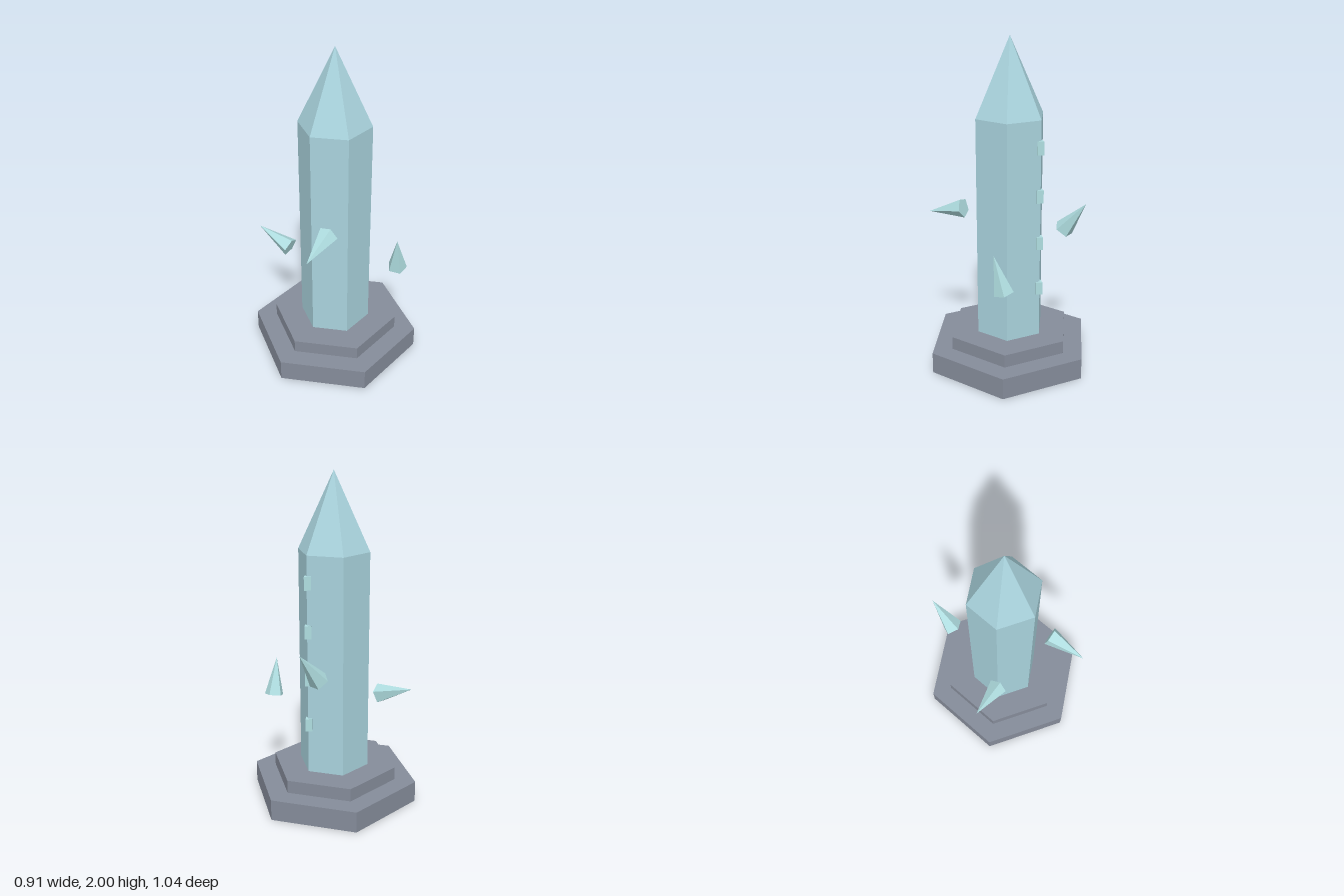
import * as THREE from 'three';

const material = (color) => new THREE.MeshStandardMaterial({ color, flatShading: true });

export function createModel() {
  const model = new THREE.Group();
  const stone = material(0x858c9a);
  const crystal = material(0xa9d3dd);
  const pale = material(0xafdde0);

  const add = (name, geometry, mat, x, y, z, parent = model) => {
    const mesh = new THREE.Mesh(geometry, mat);
    mesh.name = name;
    mesh.position.set(x, y, z);
    parent.add(mesh);
    return mesh;
  };

  // Hexagonal tower, stacked from the ground up
  const cx = 0.006;
  const hexPart = (name, rTop, rBottom, y0, y1, mat) =>
    add(name, new THREE.CylinderGeometry(rTop, rBottom, y1 - y0, 6), mat, cx, (y0 + y1) / 2, 0);
  hexPart('baseSlab', 0.518, 0.518, 0, 0.13, stone);
  hexPart('baseStep', 0.388, 0.388, 0.13, 0.21, stone);
  hexPart('crystalShaft', 0.215, 0.215, 0.21, 1.545, crystal);
  hexPart('crystalPoint', 0, 0.215, 1.545, 2, crystal);

  // Column of small studs on the rear edge
  const studs = new THREE.Group();
  studs.name = 'rearStuds';
  model.add(studs);
  const studShape = new THREE.CylinderGeometry(0.03, 0.03, 0.08, 4);
  studShape.scale(0.85, 1, 1);
  for (let i = 0; i < 4; i++) add('stud', studShape, pale, cx, 0.52 + i * 0.289, -0.206, studs);

  // Floating shards: base centre, tip, and direction of one base corner
  const shards = [
    ['rightShard', [-0.23, 0.685, 0.15], [-0.455, 0.765, 0.18], [0.02, 0.055, 0.005]],
    ['leftShard', [0.343, 0.61, -0.19], [0.37, 0.835, -0.14], [-1, 0, 0]],
    ['frontShard', [0.152, 0.982, 0.236], [0.19, 0.925, 0.467], [0.023, 0.055, 0]],
    ['rearShard', [-0.157, 0.858, -0.277], [-0.157, 1.045, -0.425], [0, 0.62, 0.78]],
  ];
  for (const [name, base, tip, corner] of shards) {
    const a = new THREE.Vector3(...base);
    const b = new THREE.Vector3(...tip);
    const axis = b.clone().sub(a);
    const length = axis.length();
    axis.normalize();
    const side = axis.clone().cross(new THREE.Vector3(...corner)).normalize();
    const out = side.clone().cross(axis);
    const mid = a.add(b).multiplyScalar(0.5);
    const shard = add(name, new THREE.ConeGeometry(0.06, length, 5), pale, mid.x, mid.y, mid.z);
    shard.quaternion.setFromRotationMatrix(new THREE.Matrix4().makeBasis(side, axis, out));
  }

  return model;
}
